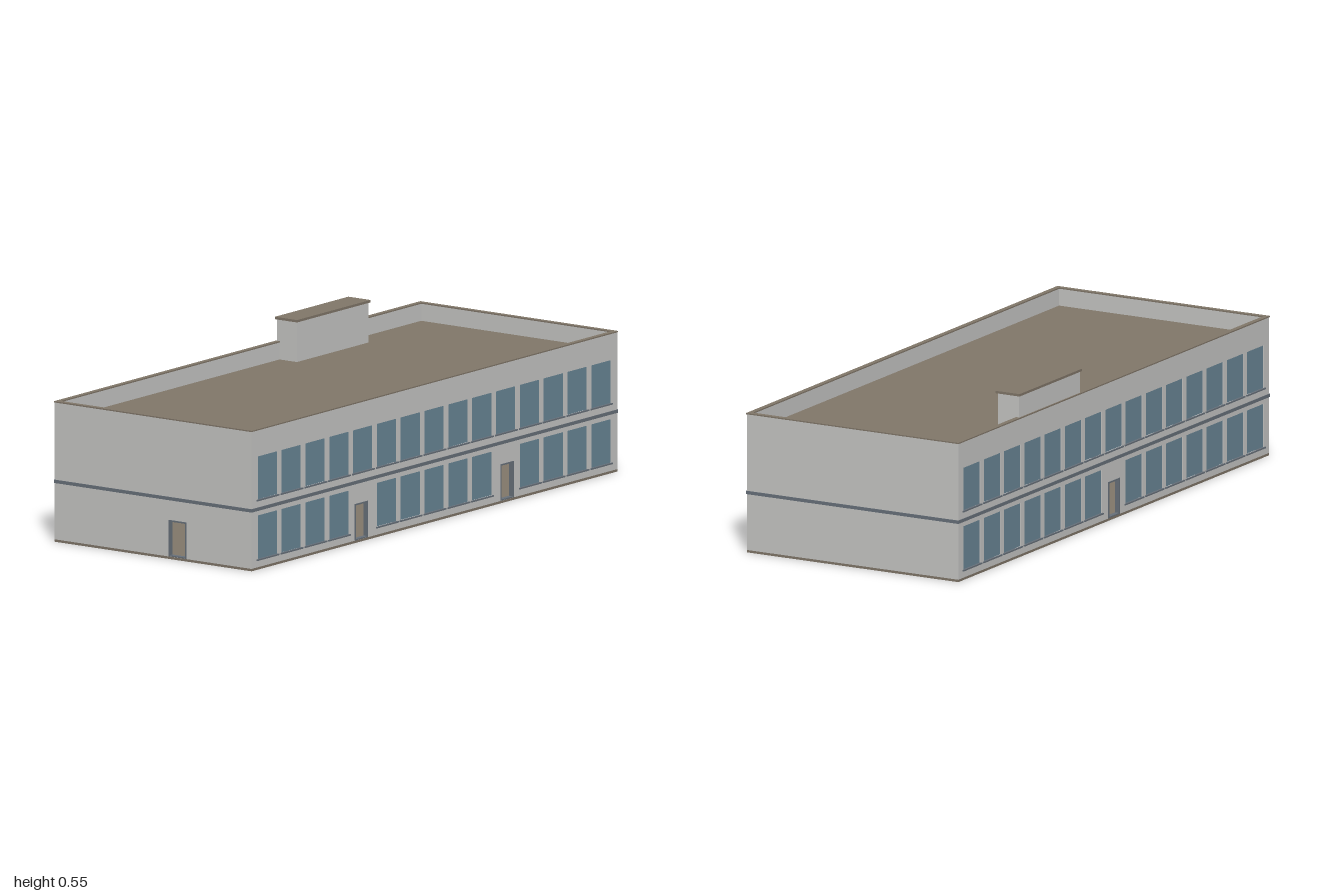
import * as THREE from 'three';

const mat = (name, color) => {
  const m = new THREE.MeshStandardMaterial({ color });
  m.name = name;
  return m;
};

export function createModel() {
  const wallMat = mat('pale wall', 0xc9c9c7);
  const glassMat = mat('blue glass', 0x6b8898);
  const brownMat = mat('brown slab', 0x82786a);
  const trimMat = mat('slate trim', 0x69727c);

  const model = new THREE.Group();
  model.name = 'building';
  const X = 0.998, Z = 0.399, T = 0.013; // half footprint and wall thickness
  const BASE = 0.008, TOP = 0.463;

  const box = (parent, name, material, w, h, d, x, y, z) => {
    const m = new THREE.Mesh(new THREE.BoxGeometry(w, h, d), material);
    m.name = name;
    m.position.set(x, y, z);
    parent.add(m);
    return m;
  };

  const rectHole = (x0, y0, x1, y1) => {
    const p = new THREE.Path();
    p.moveTo(x0, y0).lineTo(x0, y1).lineTo(x1, y1).lineTo(x1, y0).closePath();
    return p;
  };

  // Four bars running round the footprint
  const ring = (name, material, hx, hz, t, y, h) => {
    const g = new THREE.Group();
    g.name = name;
    for (const s of [-1, 1]) {
      box(g, name + 'Long', material, 2 * hx, h, t, 0, y, s * (hz - t / 2));
      box(g, name + 'Short', material, t, h, 2 * (hz - t), s * (hx - t / 2), y, 0);
    }
    model.add(g);
  };

  // One facade with its outer face on local z = 0
  const facade = (name, width, windows, doors) => {
    const g = new THREE.Group();
    g.name = name;
    const shape = new THREE.Shape();
    shape.moveTo(-width / 2, BASE).lineTo(width / 2, BASE);
    shape.lineTo(width / 2, TOP).lineTo(-width / 2, TOP).closePath();

    for (const [x, y0, y1] of windows) {
      shape.holes.push(rectHole(x - 0.054, y0, x + 0.054, y1));
      box(g, 'windowPane', glassMat, 0.108, y1 - y0, 0.004, x, (y0 + y1) / 2, -0.005);
      box(g, 'windowSill', trimMat, 0.12, 0.005, 0.008, x, y0 - 0.0025, 0);
    }
    for (const x of doors) {
      shape.holes.push(rectHole(x - 0.035, 0.009, x + 0.035, 0.13));
      for (const s of [-1, 1])
        box(g, 'doorJamb', trimMat, 0.005, 0.121, 0.016, x + s * 0.0335, 0.0695, -0.006);
      box(g, 'doorHead', trimMat, 0.062, 0.005, 0.016, x, 0.1275, -0.006);
      box(g, 'doorThreshold', trimMat, 0.062, 0.004, 0.016, x, 0.011, -0.006);
    }
    const geo = new THREE.ExtrudeGeometry(shape, { depth: T, bevelEnabled: false });
    geo.translate(0, 0, -T);
    const wall = new THREE.Mesh(geo, wallMat);
    wall.name = name + 'Panel';
    g.add(wall);
    model.add(g);
    return g;
  };

  // Fifteen bays on two storeys; ground-floor bays with a door have no window
  const bays = (doorBays) => {
    const list = [];
    for (let i = 0; i < 15; i++) {
      const x = (i - 7) * 0.13;
      list.push([x, 0.233, 0.376]);
      if (!doorBays.includes(i)) list.push([x, 0.035, 0.18]);
    }
    return list;
  };

  // Outer walls
  facade('frontWall', 2 * X, bays([4, 10]), [-0.4, 0.395]).position.z = Z;
  const back = facade('backWall', 2 * X, bays([7]), [0]);
  back.rotation.y = Math.PI;
  back.position.z = -Z;
  const right = facade('rightWall', 2 * (Z - T), [], [0.1]);
  right.rotation.y = -Math.PI / 2;
  right.position.x = -X;
  const left = facade('leftWall', 2 * (Z - T), [], []);
  left.rotation.y = Math.PI / 2;
  left.position.x = X;

  // Ground slab, middle floor and sunken roof deck
  box(model, 'groundSlab', brownMat, 2 * X, BASE, 2 * Z, 0, BASE / 2, 0);
  box(model, 'middleFloor', brownMat, 2 * (X - T), 0.012, 2 * (Z - T), 0, 0.201, 0);
  box(model, 'roofDeck', brownMat, 2 * (X - T), 0.012, 2 * (Z - T), 0, 0.4, 0);

  // Storey band and parapet coping
  ring('storeyBand', trimMat, 1, 0.401, 0.006, 0.201, 0.011);
  ring('parapetCoping', brownMat, 1, 0.401, 0.017, 0.465, 0.004);

  // Rooftop stair housing
  box(model, 'roofHousing', wallMat, 0.39, 0.134, 0.08, 0.407, 0.473, -0.356);
  box(model, 'roofHousingCap', brownMat, 0.402, 0.008, 0.09, 0.407, 0.543, -0.356);

  return model;
}
